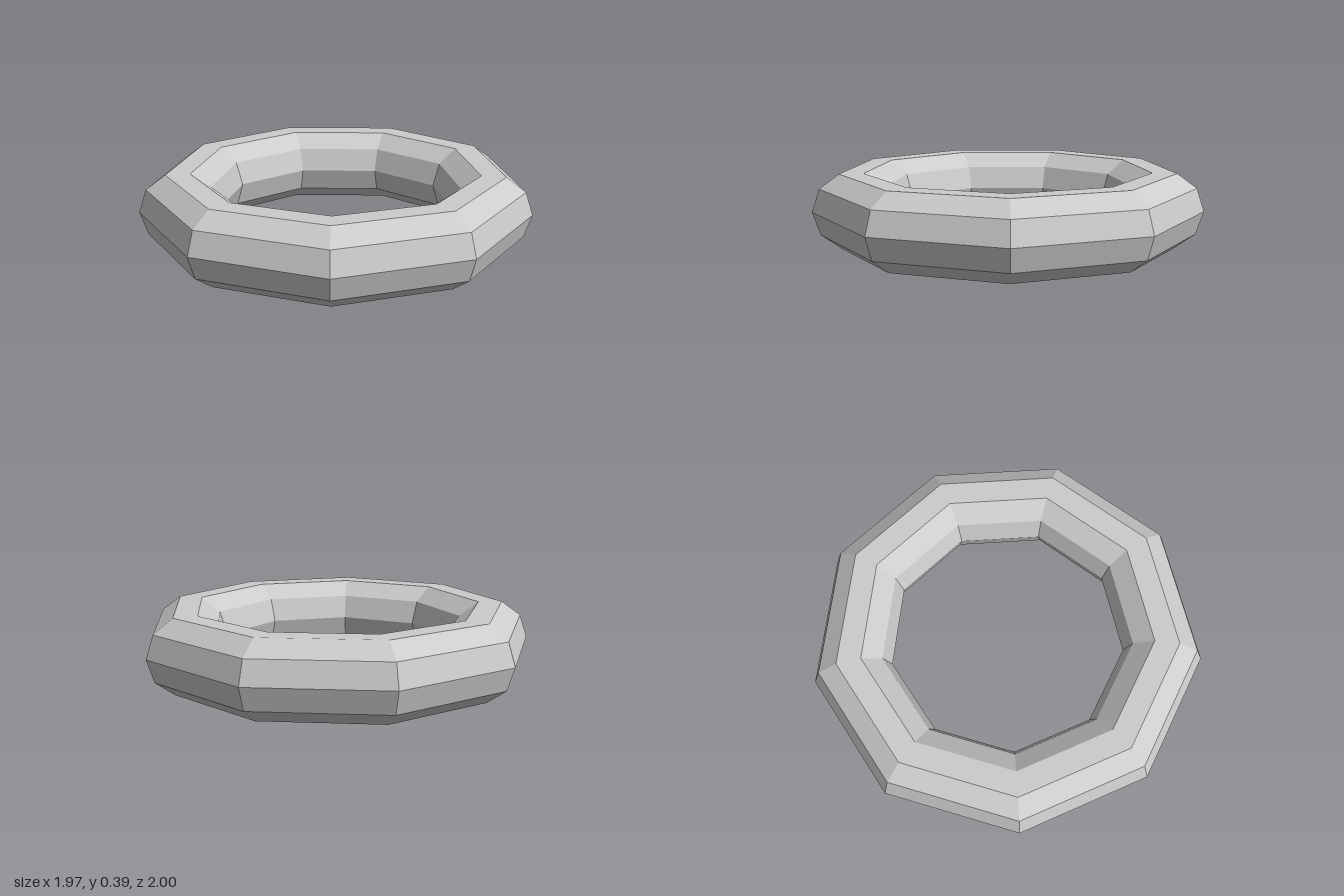
import * as THREE from 'three';

export function createModel() {
  const group = new THREE.Group();
  const material = new THREE.MeshStandardMaterial({ color: 0xcccccc, flatShading: true });

  // Faceted ring: nine segments around, ten-sided section, lying flat
  const outer = 1 / Math.sin(THREE.MathUtils.degToRad(80));
  const ringRadius = outer * 0.8;
  const tubeRadius = outer * 0.2;
  const geometry = new THREE.TorusGeometry(ringRadius, tubeRadius, 10, 9);
  geometry.rotateX(-Math.PI / 2);

  // Stand on the ground and centre the odd-sided outline
  geometry.computeBoundingBox();
  const { min, max } = geometry.boundingBox;
  geometry.translate(-(min.x + max.x) / 2, -min.y, -(min.z + max.z) / 2);

  const ring = new THREE.Mesh(geometry, material);
  ring.name = 'ring';
  group.add(ring);
  return group;
}
